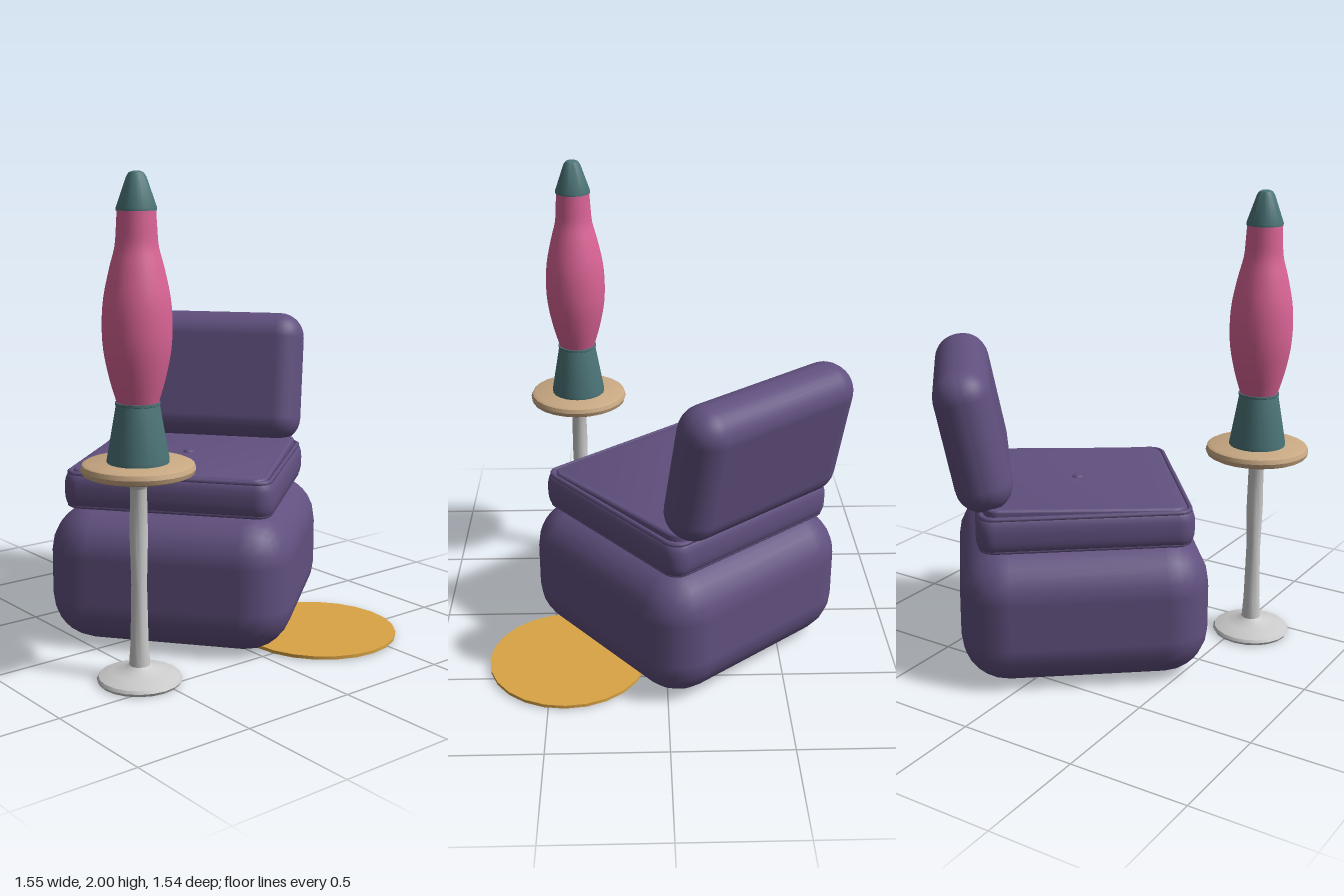
import * as THREE from 'three';
import { RoundedBoxGeometry } from 'three/addons/geometries/RoundedBoxGeometry.js';
import { toCreasedNormals } from 'three/addons/utils/BufferGeometryUtils.js';

const material = (color) => new THREE.MeshStandardMaterial({ color });
const purple = material(0x61507f);
const pink = material(0xdb6496);
const teal = material(0x4c7578);
const wood = material(0xc9a983);
const gold = material(0xd9a445);
const grey = material(0xcccccc);

function add(parent, name, geometry, mat, x = 0, y = 0, z = 0) {
  const mesh = new THREE.Mesh(geometry, mat);
  mesh.name = name;
  mesh.position.set(x, y, z);
  parent.add(mesh);
  return mesh;
}

// Turned part from [radius, height] pairs, listed bottom to top
function turned(profile, segments = 20) {
  const points = profile.map(([r, y]) => new THREE.Vector2(r, y));
  return toCreasedNormals(new THREE.LatheGeometry(points, segments), 0.6);
}

// Square with rounded corners, h = half side
function roundedSquare(h, r) {
  const s = new THREE.Shape();
  const c = h - r;
  s.absarc(c, c, r, 0, Math.PI / 2);
  s.absarc(-c, c, r, Math.PI / 2, Math.PI);
  s.absarc(-c, -c, r, Math.PI, Math.PI * 1.5);
  s.absarc(c, -c, r, Math.PI * 1.5, Math.PI * 2);
  s.closePath();
  return s;
}

// Flat cushion with bulging sides, its bottom at y = 0
function cushion(h, r, height, bevel, bulge) {
  const g = new THREE.ExtrudeGeometry(roundedSquare(h - bulge, r), {
    depth: height - 2 * bevel, bevelThickness: bevel, bevelSize: bulge, bevelSegments: 4, curveSegments: 5,
  });
  g.rotateX(-Math.PI / 2);
  g.translate(0, bevel, 0);
  return toCreasedNormals(g, 0.6);
}

// Cord running around a rounded square
function piping(h, r, thickness) {
  const points = roundedSquare(h, r).getPoints(5).map((p) => new THREE.Vector3(p.x, 0, -p.y));
  const path = new THREE.CurvePath();
  points.forEach((p, i) => {
    const q = points[(i + 1) % points.length];
    if (p.distanceTo(q) > 1e-4) path.add(new THREE.LineCurve3(p, q));
  });
  return new THREE.TubeGeometry(path, 160, thickness, 6, true);
}

function createChair() {
  const chair = new THREE.Group();
  chair.name = 'chair';
  add(chair, 'chairBase', new RoundedBoxGeometry(1.05, 0.595, 1.05, 3, 0.2), purple, 0, 0.2975, 0);
  add(chair, 'seatCushion', cushion(0.453, 0.05, 0.15, 0.06, 0.025), purple, 0, 0.595, 0);
  for (const y of [0.603, 0.742]) add(chair, 'seatPiping', piping(0.432, 0.055, 0.011), purple, 0, y, 0);

  // Top panel rises slightly towards the backrest
  const panel = add(chair, 'seatTop', cushion(0.42, 0.05, 0.05, 0.012, 0.012), purple, 0, 0.717, 0);
  panel.rotation.x = 0.028;
  const button = add(chair, 'seatButton', new THREE.SphereGeometry(0.025, 12, 8), purple, 0, 0.766, 0);
  button.scale.y = 0.5;

  const back = add(chair, 'backrest', new RoundedBoxGeometry(0.88, 0.607, 0.24, 4, 0.115), purple, 0, 1.045, -0.452);
  back.rotation.x = -0.2;
  return chair;
}

function createTable() {
  const table = new THREE.Group();
  table.name = 'sideTable';
  add(table, 'tableStand', turned([
    [0, 0], [0.165, 0], [0.172, 0.012], [0.165, 0.024], [0.11, 0.045], [0.06, 0.056], [0.042, 0.07],
    [0.036, 0.16], [0.031, 0.4], [0.036, 0.6], [0.033, 0.79], [0.045, 0.81], [0.068, 0.835], [0.068, 0.85],
  ]), grey);
  add(table, 'tableTop', turned([
    [0, 0.845], [0.205, 0.845], [0.219, 0.852], [0.225, 0.87], [0.219, 0.888], [0.205, 0.895], [0, 0.895],
  ], 24), wood);
  return table;
}

function createLamp() {
  const lamp = new THREE.Group();
  lamp.name = 'lamp';
  add(lamp, 'lampBase', turned([
    [0, 0.895], [0.122, 0.895], [0.122, 0.908], [0.085, 1.118], [0.088, 1.12], [0.088, 1.13], [0, 1.13],
  ], 24), teal);
  // Glass body swells in the middle
  const glass = new THREE.SplineCurve([
    [0.08, 1.125], [0.108, 1.22], [0.13, 1.33], [0.135, 1.43], [0.128, 1.53], [0.105, 1.64],
    [0.084, 1.72], [0.078, 1.79], [0.074, 1.86],
  ].map(([r, y]) => new THREE.Vector2(r, y)));
  add(lamp, 'lampGlass', new THREE.LatheGeometry(glass.getPoints(24), 24), pink);
  add(lamp, 'lampCap', turned([
    [0, 1.855], [0.078, 1.855], [0.078, 1.865], [0.038, 1.98], [0.028, 1.995], [0.015, 2], [0, 2],
  ], 24), teal);
  return lamp;
}

export function createModel() {
  const model = new THREE.Group();
  model.name = 'loungeCorner';

  const chair = createChair();
  chair.position.set(0.07, 0, -0.093);
  chair.rotation.y = -0.89;
  model.add(chair);

  for (const part of [createTable(), createLamp()]) {
    part.position.set(-0.555, 0, 0.392);
    model.add(part);
  }

  add(model, 'rug', new THREE.CylinderGeometry(0.342, 0.342, 0.014, 24), gold, 0.38, 0.013, 0.428);
  return model;
}
